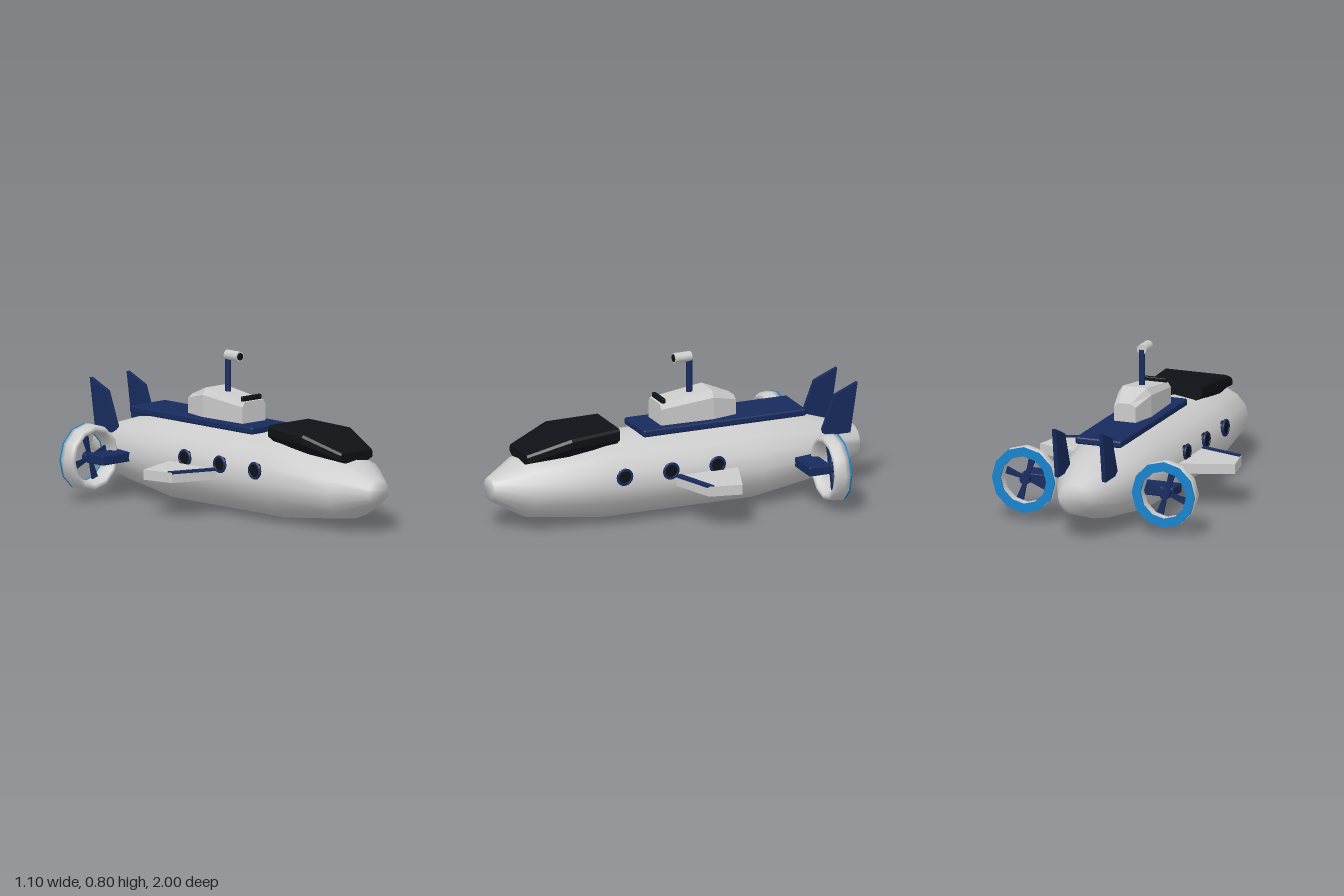
import * as THREE from 'three';
import { RoundedBoxGeometry } from 'three/addons/geometries/RoundedBoxGeometry.js';

const grey = new THREE.MeshStandardMaterial({ color: 0xcccccc });
const greyFlat = new THREE.MeshStandardMaterial({ color: 0xcccccc, flatShading: true });
const navy = new THREE.MeshStandardMaterial({ color: 0x172b5e, flatShading: true });
const black = new THREE.MeshStandardMaterial({ color: 0x0e1216, flatShading: true });
const blue = new THREE.MeshStandardMaterial({ color: 0x1583cc, flatShading: true });

function add(parent, name, geometry, material, x = 0, y = 0, z = 0) {
  const mesh = new THREE.Mesh(geometry, material);
  mesh.name = name;
  mesh.position.set(x, y, z);
  parent.add(mesh);
  return mesh;
}

// Skin over closed cross-sections, ordered back to front, each counter-clockwise seen from +z
function loft(sections) {
  const n = sections[0].length, last = (sections.length - 1) * n;
  const index = [];
  for (let i = 0; i < sections.length - 1; i++) {
    for (let j = 0; j < n; j++) {
      const a = i * n + j, b = i * n + (j + 1) % n;
      index.push(a, b, b + n, a, b + n, a + n);
    }
  }
  for (let j = 1; j < n - 1; j++) {
    index.push(0, j + 1, j, last, last + j, last + j + 1);
  }
  const g = new THREE.BufferGeometry();
  g.setAttribute('position', new THREE.Float32BufferAttribute(sections.flat(2), 3));
  g.setIndex(index);
  g.computeVertexNormals();
  return g;
}

// Elliptical section with 16 sides
function ellipse([z, cy, w, h]) {
  return Array.from({ length: 16 }, (_, j) => {
    const a = j * Math.PI / 8;
    return [w * Math.cos(a), cy + h * Math.sin(a), z];
  });
}

// Symmetric section from its right half, listed bottom to top as [x, y]
function mirrored(z, half) {
  return [...half.map(([x, y]) => [x, y, z]), ...half.map(([x, y]) => [-x, y, z]).reverse()];
}

// Flat plate from an outline
function plate(points, depth) {
  const shape = new THREE.Shape(points.map(p => new THREE.Vector2(...p)));
  return new THREE.ExtrudeGeometry(shape, { depth, bevelEnabled: false });
}

// Plate lying flat: outline in [x, z], thickness upward
function flatPlate(points, thickness) {
  return plate(points.map(([x, z]) => [x, -z]), thickness).rotateX(-Math.PI / 2);
}

function thruster(side) {
  const g = new THREE.Group();
  g.name = side > 0 ? 'leftThruster' : 'rightThruster';
  // Duct profile as [radius, height]; height runs toward the front
  const profile = [[0.125, 0], [0.122, 0.025], [0.127, 0.055], [0.138, 0.075], [0.15, 0.08],
    [0.161, 0.073], [0.169, 0.055], [0.172, 0.025], [0.17, 0], [0.125, 0]]
    .map(p => new THREE.Vector2(...p)).reverse();
  const ductMaterial = grey.clone();
  ductMaterial.side = THREE.DoubleSide;
  add(g, 'duct', new THREE.LatheGeometry(profile, 12).rotateX(Math.PI / 2), ductMaterial, 0, 0, -0.745);
  const ring = new THREE.Shape(), hole = new THREE.Path();
  for (let i = 0; i < 12; i++) {
    const a = i * Math.PI / 6, c = Math.cos(a), s = Math.sin(a);
    ring[i ? 'lineTo' : 'moveTo'](0.171 * c, 0.171 * s);
    hole[i ? 'lineTo' : 'moveTo'](0.124 * c, 0.124 * s);
  }
  ring.closePath();
  hole.closePath();
  ring.holes.push(hole);
  add(g, 'rearRing', new THREE.ExtrudeGeometry(ring, { depth: 0.009, bevelEnabled: false }), blue, 0, 0, -0.754);
  // Propeller
  add(g, 'hub', new THREE.CylinderGeometry(0.028, 0.028, 0.07, 10).rotateX(Math.PI / 2), navy, 0, 0, -0.705);
  for (let i = 0; i < 4; i++) {
    const blade = add(g, 'blade', plate([[0, -0.007], [0.113, -0.019], [0.113, 0.019], [0, 0.007]], 0.01),
      navy, 0, 0, -0.715);
    blade.rotation.z = (17 + 90 * i) * Math.PI / 180;
  }
  add(g, 'strut', new RoundedBoxGeometry(0.25, 0.048, 0.12, 1, 0.005), navy, -side * 0.093, 0, -0.64);
  g.position.set(side * 0.38, 0.215, 0);
  return g;
}

export function createModel() {
  const model = new THREE.Group();
  model.name = 'submarine';

  add(model, 'hull', loft([[-1, 0.215, 0.09, 0.08], [-0.75, 0.214, 0.2, 0.16], [-0.4, 0.2125, 0.27, 0.2105],
    [0.42, 0.2125, 0.267, 0.2095], [0.83, 0.206, 0.2, 0.154], [1, 0.21, 0.07, 0.06]].map(ellipse)), grey);

  add(model, 'deck', new RoundedBoxGeometry(0.25, 0.037, 0.895, 2, 0.01), navy, 0, 0.433, -0.2425);

  // Cockpit canopy: z, half width, bottom, shoulder and top heights
  const canopy = [[0.345, 0.146, 0.4, 0.43, 0.485], [0.62, 0.175, 0.372, 0.425, 0.472],
    [0.84, 0.11, 0.345, 0.36, 0.398]];
  add(model, 'canopy', loft(canopy.map(([z, w, b, s, t]) =>
    mirrored(z, [[w * 0.75, b], [w, s], [w, t - 0.012], [w * 0.93, t]]))), black);

  // Conning tower: z, half width, shoulder height, roof half width, roof height
  const tower = [[-0.33, 0.058, 0.53, 0.032, 0.547], [-0.195, 0.089, 0.565, 0.065, 0.6],
    [0.09, 0.08, 0.535, 0.064, 0.56]];
  add(model, 'conningTower', loft(tower.map(([z, w, s, rw, t]) =>
    mirrored(z, [[w, 0.44], [w, s], [rw, t]]))), greyFlat);
  add(model, 'towerWindow', new RoundedBoxGeometry(0.13, 0.032, 0.02, 1, 0.005), black, 0, 0.57, 0.068);

  // Periscope
  add(model, 'periscopeMast', new THREE.CylinderGeometry(0.016, 0.016, 0.2, 12), navy, 0, 0.67, -0.1);
  add(model, 'periscopeHead', new THREE.CylinderGeometry(0.026, 0.026, 0.092, 12).rotateX(Math.PI / 2),
    grey, 0, 0.772, -0.06);
  add(model, 'periscopeLens', new THREE.CylinderGeometry(0.019, 0.019, 0.006, 12).rotateX(Math.PI / 2),
    black, 0, 0.772, -0.013);

  for (const side of [1, -1]) {
    const prefix = side > 0 ? 'left' : 'right';
    const flip = points => points.map(([x, z]) => [side * x, z]);

    // Side planes with a leading-edge strip
    add(model, prefix + 'Wing', flatPlate(flip([[0.2, -0.275], [0.53, -0.16], [0.495, 0.01], [0.2, 0.11]]), 0.052),
      greyFlat, 0, 0.189, 0);
    add(model, prefix + 'WingStrip', flatPlate(flip([[0.22, 0.072], [0.497, -0.02], [0.493, 0.014], [0.22, 0.106]]), 0.012),
      navy, 0, 0.234, 0);

    // Portholes
    for (const z of [0.37, 0.115, -0.14]) {
      add(model, prefix + 'PortholeFrame', new THREE.TorusGeometry(0.038, 0.008, 6, 16).rotateY(Math.PI / 2),
        navy, side * 0.263, 0.27, z);
      add(model, prefix + 'PortholeGlass', new THREE.CylinderGeometry(0.036, 0.036, 0.024, 16).rotateZ(Math.PI / 2),
        black, side * 0.255, 0.27, z);
    }

    // Tail fins: outline in [-z, y]
    add(model, prefix + 'TailFin', plate([[0.76, 0.3], [0.925, 0.3], [0.965, 0.562], [0.84, 0.508]], 0.022)
      .rotateY(Math.PI / 2), navy, side * 0.128 - 0.011, 0, 0);

    model.add(thruster(side));
  }
  return model;
}
